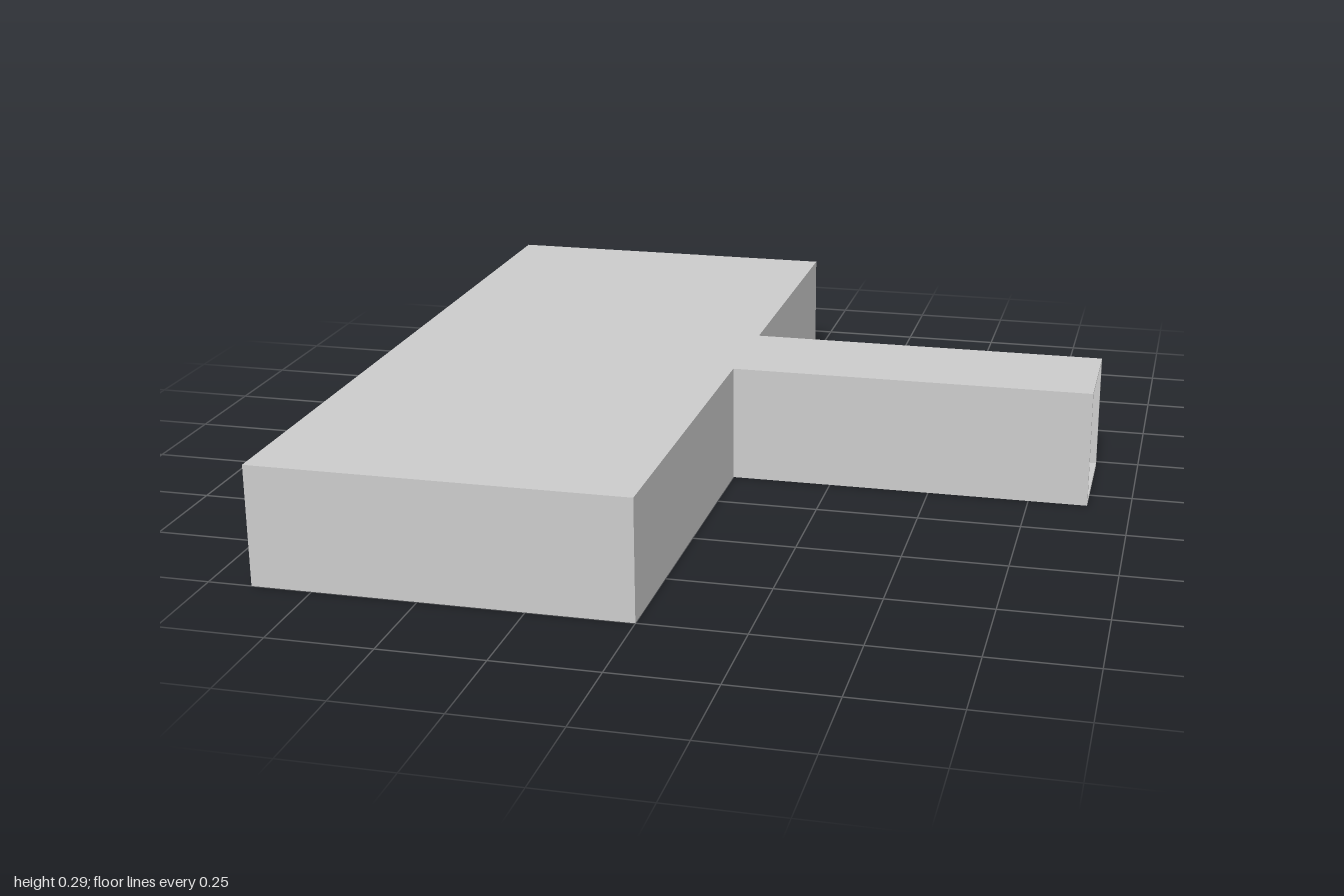
import * as THREE from 'three';

const H = 0.29;           // overall height
const T = 0.01;           // wall thickness
const WEST = -0.895, EAST = 0.895;
const Z0 = -0.22, Z1 = 0.075; // outer faces of the passage

export function createModel() {
  const model = new THREE.Group();
  const material = new THREE.MeshStandardMaterial({ color: 0xcccccc, flatShading: true });

  const add = (name, geometry, parent = model) => {
    const mesh = new THREE.Mesh(geometry, material);
    mesh.name = name;
    parent.add(mesh);
    return mesh;
  };
  // Box given by its minimum and maximum corners
  const box = (name, [x0, y0, z0], [x1, y1, z1], parent) => {
    const mesh = add(name, new THREE.BoxGeometry(x1 - x0, y1 - y0, z1 - z0), parent);
    mesh.position.set((x0 + x1) / 2, (y0 + y1) / 2, (z0 + z1) / 2);
    return mesh;
  };

  // Main hall: one room on each side of the passage
  box('frontRoom', [WEST, 0, Z1], [0, H, 1]);
  box('backRoom', [WEST, 0, -1 + T], [0, H, Z0]);

  // Back end wall with two shallow window recesses
  const wall = new THREE.Shape([
    new THREE.Vector2(WEST, 0), new THREE.Vector2(0, 0),
    new THREE.Vector2(0, H), new THREE.Vector2(WEST, H),
  ]);
  for (const x of [-0.72, -0.36]) {
    wall.holes.push(new THREE.Path([
      new THREE.Vector2(x, 0.088), new THREE.Vector2(x, 0.188),
      new THREE.Vector2(x + 0.18, 0.188), new THREE.Vector2(x + 0.18, 0.088),
    ]));
  }
  add('backWindowWall', new THREE.ExtrudeGeometry(wall, { depth: T, bevelEnabled: false }))
    .position.z = -1;

  // Open passage running through the hall and out along the side wing
  const passage = new THREE.Group();
  passage.name = 'passage';
  model.add(passage);
  box('passageFloor', [WEST, 0, Z0], [EAST, T, Z1], passage);
  box('passageRoof', [WEST, H - T / 2, Z0], [EAST, H, Z1], passage);
  box('passageFrontWall', [WEST, T, Z1 - T], [EAST, H - T / 2, Z1], passage);
  box('passageBackWall', [WEST, T, Z0], [EAST, H - T / 2, Z0 + T], passage);

  return model;
}
